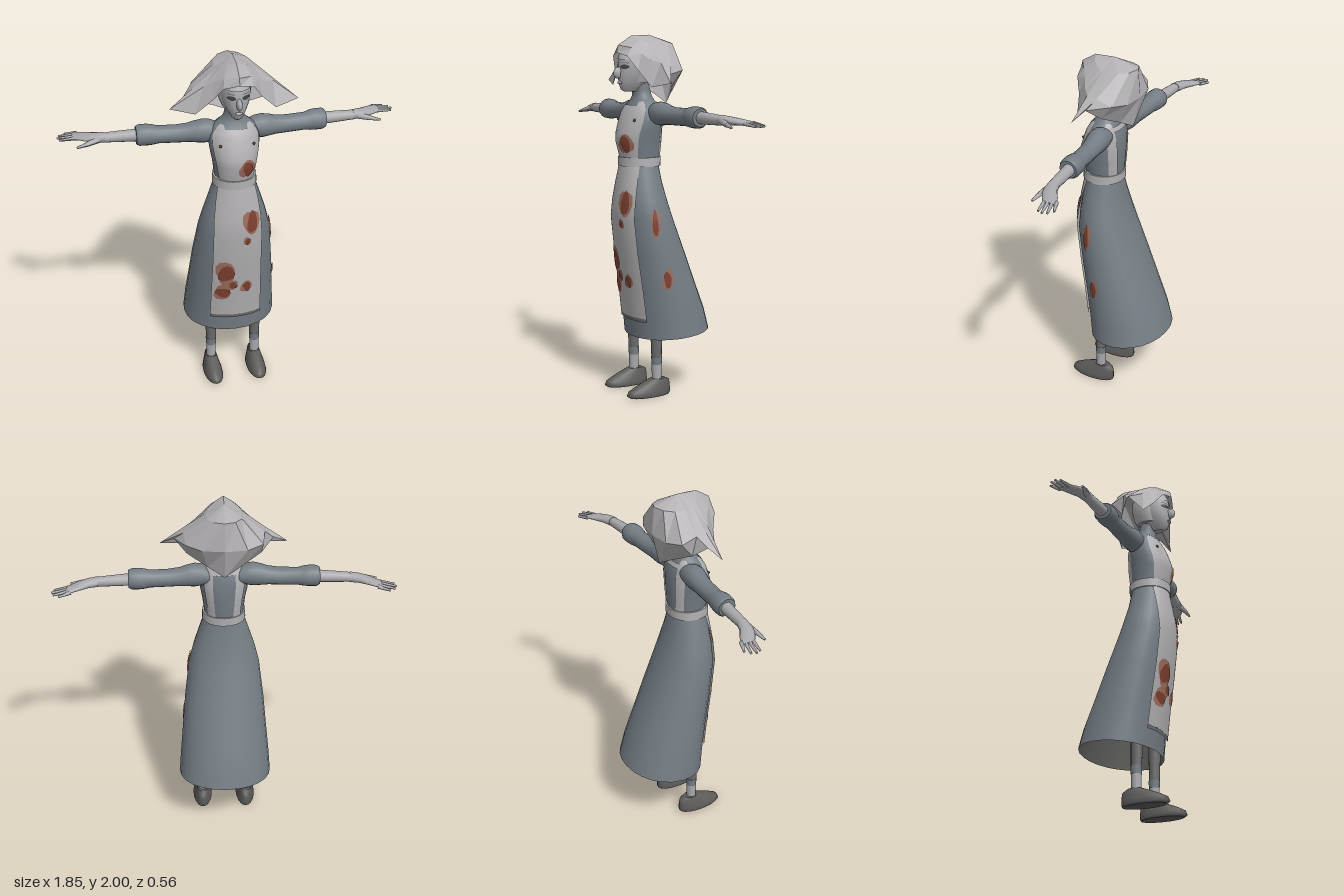
import * as THREE from 'three';

const mat = (name, color, side = THREE.FrontSide) => {
  const m = new THREE.MeshStandardMaterial({ color, side });
  m.name = name;
  return m;
};

// Cross-section rows: [y, half width, front z, back z, lift of the back]
const SKIRT = [[0.32, 0.265, 0.17, -0.28, 0.04], [0.45, 0.256, 0.182, -0.25, 0.02], [0.6, 0.243, 0.2, -0.2],
  [0.8, 0.225, 0.228, -0.125], [1.0, 0.2, 0.252, -0.05], [1.1, 0.175, 0.246, -0.02], [1.2, 0.143, 0.232, 0.005], [1.3, 0.11, 0.215, 0.02]];
const TORSO = [[1.29, 0.105, 0.215, 0.02], [1.34, 0.11, 0.222, 0.012], [1.42, 0.12, 0.243, 0.006], [1.47, 0.13, 0.238, 0.005],
  [1.53, 0.138, 0.218, 0.006], [1.58, 0.136, 0.198, 0.015], [1.62, 0.112, 0.175, 0.03], [1.645, 0.078, 0.162, 0.04],
  [1.67, 0.056, 0.155, 0.05], [1.7, 0.049, 0.155, 0.058], [1.76, 0.044, 0.17, 0.07]];
const HEAD = [[1.692, 0.02, 0.21, 0.13], [1.705, 0.032, 0.233, 0.1], [1.74, 0.053, 0.243, 0.06], [1.78, 0.07, 0.247, 0.04],
  [1.83, 0.08, 0.242, 0.03], [1.88, 0.078, 0.236, 0.03], [1.93, 0.06, 0.21, 0.05], [1.96, 0.02, 0.16, 0.1]];
const POWER = 2.1;

const spow = (v, p) => Math.sign(v) * Math.abs(v) ** p;

// Skin a list of rings of points, with optional flat end caps
function loft(rings, caps = true) {
  const n = rings[0].length, pos = rings.flat(2), idx = [];
  for (let j = 0; j < rings.length - 1; j++) for (let i = 0; i < n; i++) {
    const a = j * n + i, b = j * n + (i + 1) % n;
    idx.push(a, b, b + n, a, b + n, a + n);
  }
  if (caps) [rings[0], rings.at(-1)].forEach((ring, end) => {
    const base = pos.length / 3;
    pos.push(...ring.flat());
    for (let i = 1; i < n - 1; i++) idx.push(base, base + (end ? i : i + 1), base + (end ? i + 1 : i));
  });
  return meshData(pos, idx);
}

function meshData(pos, idx) {
  const g = new THREE.BufferGeometry();
  g.setAttribute('position', new THREE.Float32BufferAttribute(pos, 3));
  g.setIndex(idx);
  g.computeVertexNormals();
  return g;
}

function flipped(g) {
  g.setIndex(Array.from(g.index.array).reverse());
  g.computeVertexNormals();
  return g;
}

const mirrored = g => flipped(g.clone().scale(-1, 1, 1));

// Upright body built from cross-section rows
function upright(rows, { n = 32, caps = true, cx = 0 } = {}) {
  return loft(rows.map(([y, w, f, b, lift = 0]) => Array.from({ length: n }, (_, i) => {
    const a = i / n * Math.PI * 2;
    const z = (f + b) / 2 + (f - b) / 2 * spow(Math.cos(a), 2 / POWER);
    return [cx + w * spow(Math.sin(a), 2 / POWER), y + lift * (f - z) / (f - b), z];
  })), caps);
}

// Sideways limb from rows [x, y, z, half height, half depth]
const limb = (rows, n = 16) => loft(rows.map(([x, y, z, h, d]) => Array.from({ length: n }, (_, i) => {
  const a = i / n * Math.PI * 2;
  return [x, y - Math.sin(a) * h, z + Math.cos(a) * d];
})));

// Point lying on a body: u is x on the front and back, z on the left side
function onBody(rows, side, u, y, off) {
  let k = 0;
  while (k < rows.length - 2 && y > rows[k + 1][0]) k++;
  const t = THREE.MathUtils.clamp((y - rows[k][0]) / (rows[k + 1][0] - rows[k][0]), 0, 1);
  const [w, f, b] = [1, 2, 3].map(c => THREE.MathUtils.lerp(rows[k][c], rows[k + 1][c], t));
  const mid = (f + b) / 2, d = (f - b) / 2;
  const rise = r => (1 - Math.min(Math.abs(r), 0.985) ** POWER) ** (1 / POWER);
  if (side === 'left') return [w * rise((u - mid) / d) + off, y, u];
  return [u, y, mid + (side === 'back' ? -1 : 1) * (d * rise(u / w) + off)];
}

// Cloth strip on a body, from profile rows [y, x0, x1]
function panel(rows, profile, off, side = 'front', cols = 16) {
  const pos = [], idx = [];
  profile.forEach(([y, x0, x1], j) => {
    for (let i = 0; i <= cols; i++) pos.push(...onBody(rows, side, x0 + (x1 - x0) * i / cols, y, off));
    if (j) for (let i = 0; i < cols; i++) {
      const a = (j - 1) * (cols + 1) + i, c = a + cols + 1;
      idx.push(a, a + 1, c + 1, a, c + 1, c);
    }
  });
  const g = meshData(pos, idx);
  return side === 'back' ? flipped(g) : g;
}

// Irregular spot lying on a body
function spot(rows, side, u, y, ru, ry, off, seed = 0) {
  const n = 12, pos = onBody(rows, side, u, y, off), idx = [];
  for (let k = 1; k <= 2; k++) for (let i = 0; i < n; i++) {
    const a = i / n * Math.PI * 2;
    const j = seed ? 0.93 + 0.13 * Math.sin(seed * 7.3 + a * 2) + 0.09 * Math.sin(seed * 3.1 + a * 3) : 1;
    pos.push(...onBody(rows, side, u + Math.cos(a) * ru * j * k / 2, y + Math.sin(a) * ry * j * k / 2, off));
    const p = 1 + i, q = 1 + (i + 1) % n;
    if (k === 1) idx.push(0, p, q);
    else idx.push(p, p + n, q + n, p, q + n, q);
  }
  const g = meshData(pos, idx);
  return side === 'left' ? flipped(g) : g;
}

// Tapered rod between two points
function rod(a, b, ra, rb, n = 8) {
  const A = new THREE.Vector3(...a), d = new THREE.Vector3(...b).sub(A);
  const g = new THREE.CylinderGeometry(rb, ra, d.length(), n);
  g.translate(0, d.length() / 2, 0);
  g.applyQuaternion(new THREE.Quaternion().setFromUnitVectors(new THREE.Vector3(0, 1, 0), d.normalize()));
  return g.translate(...a);
}

export function createModel() {
  const model = new THREE.Group();
  const dress = mat('dress blue grey', 0x747d84), lining = mat('skirt lining', 0x62625f);
  const linen = mat('linen', 0xb2b0b2, THREE.DoubleSide), skin = mat('skin', 0xa9a9ad);
  const stocking = mat('stocking grey', 0x6a6b6a), shoeGrey = mat('shoe grey', 0x5c5b5a);
  const dark = mat('dark grey', 0x444446, THREE.DoubleSide);
  const rust = mat('rust stain', 0x7d4030, THREE.DoubleSide), paleRust = mat('pale stain', 0x9c6d5d, THREE.DoubleSide);
  const add = (name, g, m) => {
    const mesh = new THREE.Mesh(g, m);
    mesh.name = name;
    model.add(mesh);
  };
  const pair = (name, g, m) => {
    add(name + 'Left', g, m);
    add(name + 'Right', mirrored(g), m);
  };

  // Dress
  add('skirt', upright(SKIRT, { caps: false, n: 24 }), dress);
  const inside = SKIRT.map(([y, w, f, b, lift]) => [y, w - 0.002, f - 0.002, b + 0.002, lift]);
  add('skirtLining', flipped(upright(inside, { caps: false, n: 24 })), lining);
  add('bodice', upright(TORSO), dress);
  pair('sleeve', limb([[0.08, 1.575, 0.075, 0.045, 0.05], [0.12, 1.577, 0.075, 0.06, 0.06], [0.16, 1.577, 0.073, 0.065, 0.062],
    [0.2, 1.575, 0.069, 0.059, 0.058], [0.24, 1.571, 0.065, 0.051, 0.053], [0.3, 1.568, 0.06, 0.048, 0.05], [0.4, 1.569, 0.052, 0.048, 0.048],
    [0.43, 1.571, 0.05, 0.055, 0.055], [0.46, 1.572, 0.049, 0.058, 0.058], [0.5, 1.572, 0.047, 0.057, 0.058], [0.516, 1.572, 0.047, 0.048, 0.05]]), dress);

  // Apron, bib, straps and belt
  const skirtEdge = [[0.44, 0.147], [0.6, 0.143], [0.8, 0.138], [1.0, 0.135], [1.1, 0.13], [1.2, 0.118], [1.3, 0.1]];
  add('apron', panel(SKIRT, skirtEdge.map(([y, x]) => [y, -x, x]), 0.012), linen);
  add('apronHem', panel(SKIRT, [[0.42, -0.147, 0.147], [0.44, -0.147, 0.147]], 0.011), stocking);
  const bibEdge = [[1.3, 0.088], [1.34, 0.095], [1.42, 0.108], [1.47, 0.117], [1.53, 0.126], [1.58, 0.124], [1.6, 0.116], [1.62, 0.1]];
  add('bib', panel(TORSO, bibEdge.map(([y, x]) => [y, -x, x]), 0.008), linen);
  const shoulder = [[1.61, 0.06, 0.106], [1.622, 0.06, 0.1], [1.64, 0.062, 0.078]];
  pair('frontStrap', panel(TORSO, shoulder, 0.007, 'front', 6), linen);
  pair('backStrap', panel(TORSO, [[1.3, 0.045, 0.085], [1.42, 0.055, 0.097], [1.53, 0.062, 0.112], ...shoulder], 0.007, 'back', 6), linen);
  add('backYoke', panel(TORSO, [[1.595, -0.1, 0.1], [1.622, -0.09, 0.09]], 0.008, 'back'), linen);
  add('belt', upright([[1.285, 0.121, 0.236, 0.006], [1.335, 0.119, 0.236, 0.004]]), linen);
  pair('button', new THREE.SphereGeometry(0.008, 10, 8).translate(...onBody(TORSO, 'front', 0.09, 1.54, 0.01)), dark);

  // Stains: [body, side, u, y, radius u, radius y]
  [[TORSO, 'front', 0.048, 1.41, 0.046, 0.062], [SKIRT, 'front', 0.07, 1.085, 0.048, 0.085], [SKIRT, 'front', 0.045, 0.97, 0.022, 0.03],
    [SKIRT, 'front', -0.07, 0.75, 0.062, 0.088], [SKIRT, 'front', -0.085, 0.61, 0.055, 0.054], [SKIRT, 'front', -0.03, 0.665, 0.032, 0.036],
    [SKIRT, 'front', 0.05, 0.645, 0.034, 0.046], [SKIRT, 'left', 0.13, 0.98, 0.026, 0.092], [SKIRT, 'left', 0.07, 0.67, 0.03, 0.064],
  ].forEach(([body, side, u, y, ru, ry], i) => {
    const off = side === 'left' ? 0.004 : body === TORSO ? 0.011 : 0.016;
    add('stainEdge', spot(body, side, u, y, ru, ry, off, i + 1), paleRust);
    add('stain', spot(body, side, u + 0.004, y, ru * 0.74, ry * 0.74, off + 0.003, i + 4), rust);
  });

  // Head and face
  add('head', upright(HEAD, { n: 24 }), skin);
  add('nose', new THREE.SphereGeometry(1, 14, 10).scale(0.016, 0.032, 0.03).rotateX(-0.35).translate(0, 1.795, 0.25), skin);
  add('lips', new THREE.SphereGeometry(0.02, 12, 8).scale(1, 0.45, 0.6).translate(0, 1.742, 0.241), skin);
  pair('eye', spot(HEAD, 'front', 0.038, 1.828, 0.022, 0.012, 0.004), dark);
  pair('brow', panel(HEAD, [[1.847, 0.02, 0.058], [1.852, 0.022, 0.056]], 0.004, 'front', 6), stocking);

  // Close cap around the face and band across the forehead
  add('cap', upright(HEAD.slice(2).map(([y, w, , b]) => [y, w + 0.012, Math.min(0.19, b + 0.16), b - 0.01]), { n: 24 }), linen);
  add('foreheadBand', panel(HEAD, [[1.868, -0.074, 0.074], [1.9, -0.066, 0.066], [1.93, -0.05, 0.05]], 0.008), linen);

  // Winged headscarf: rim, middle and upper points from front to back
  const scarf = [
    [[0, 1.905, 0.26], [0, 1.945, 0.25], [0, 1.995, 0.17]],
    [[0.08, 1.885, 0.238], [0.07, 1.93, 0.205], [0.045, 1.975, 0.15]],
    [[0.13, 1.81, 0.2], [0.115, 1.9, 0.17], [0.07, 1.962, 0.125]],
    [[0.215, 1.722, 0.165], [0.165, 1.865, 0.142], [0.085, 1.95, 0.1]],
    [[0.345, 1.745, 0.125], [0.21, 1.85, 0.105], [0.09, 1.945, 0.08]],
    [[0.265, 1.79, 0.085], [0.215, 1.845, 0.045], [0.095, 1.945, 0.045]],
    [[0.2, 1.73, 0.03], [0.205, 1.81, -0.035], [0.09, 1.947, -0.01]],
    [[0.09, 1.675, -0.025], [0.12, 1.8, -0.083], [0.055, 1.952, -0.06]],
    [[0, 1.625, -0.055], [0, 1.8, -0.097], [0, 1.957, -0.085]]];
  const around = [...scarf, ...scarf.slice(1, -1).reverse().map(c => c.map(([x, y, z]) => [-x, y, z]))];
  const rows = [0, 1, 2].map(k => around.map(c => c[k]));
  rows.push(around.map(() => [0, 2.0, 0.06]));
  const scarfGeo = loft(rows, false).toNonIndexed();
  scarfGeo.computeVertexNormals();
  add('headscarf', scarfGeo, linen);

  // Forearms and hands
  pair('forearm', limb([[0.49, 1.572, 0.045, 0.034, 0.034], [0.6, 1.57, 0.036, 0.03, 0.031], [0.685, 1.568, 0.03, 0.026, 0.028]]), skin);
  pair('hand', limb([[0.68, 1.569, 0.03, 0.028, 0.03], [0.73, 1.568, 0.018, 0.024, 0.036], [0.78, 1.565, -0.005, 0.018, 0.046],
    [0.83, 1.56, -0.034, 0.012, 0.042], [0.845, 1.558, -0.04, 0.007, 0.036]]), skin);
  [[0.885, -0.092], [0.915, -0.072], [0.925, -0.046], [0.915, -0.02]].forEach(([x, z], i) => {
    pair('finger', rod([0.82, 1.56, -0.068 + i * 0.021], [x, 1.548, z], 0.011, 0.006), skin);
  });
  pair('thumb', rod([0.71, 1.565, 0.04], [0.78, 1.55, 0.06], 0.019, 0.012), skin);
  pair('thumbTip', rod([0.775, 1.551, 0.059], [0.83, 1.54, 0.067], 0.012, 0.006), skin);

  // Legs and shoes
  const X = 0.13, Z = 0.085;
  pair('stocking', rod([X, 0.2, Z], [X, 0.95, 0.1], 0.029, 0.045, 16), stocking);
  pair('stockingBand', rod([X, 0.175, Z], [X, 0.22, Z], 0.029, 0.031, 16), dress);
  pair('sock', rod([X, 0.06, Z], [X, 0.18, Z], 0.027, 0.028, 16), skin);
  pair('shoe', upright([[0, 0.05, 0.255, 0.008], [0.012, 0.056, 0.272, 0.002], [0.035, 0.051, 0.262, 0.002], [0.06, 0.042, 0.215, 0.004],
    [0.08, 0.036, 0.165, 0.008], [0.095, 0.031, 0.125, 0.035]], { n: 20, cx: X }), shoeGrey);
  return model;
}
